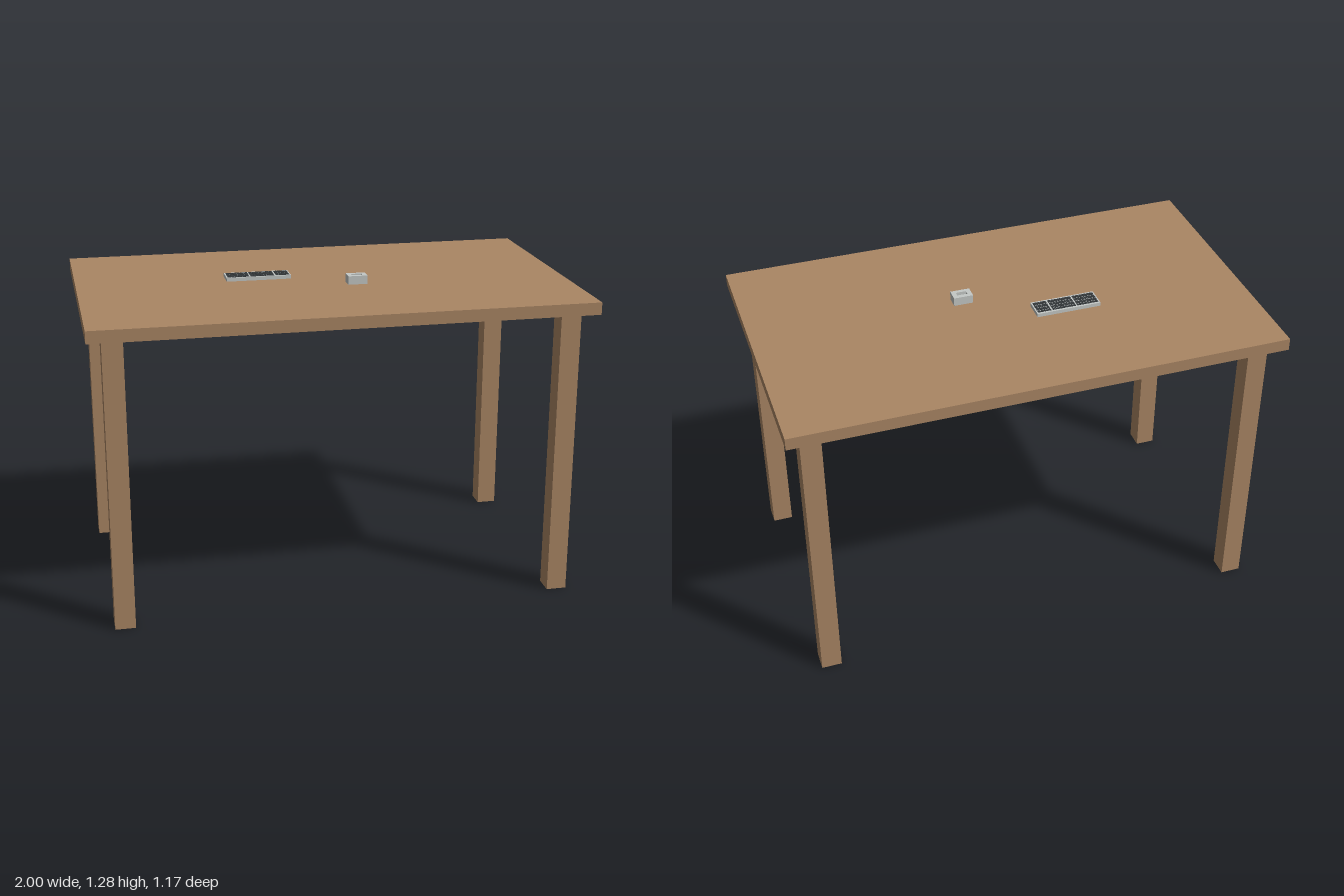
import * as THREE from 'three';

export function createModel() {
  const model = new THREE.Group();
  const mat = (name, color) => {
    const m = new THREE.MeshStandardMaterial({ color });
    m.name = name;
    return m;
  };
  const wood = mat('wood', 0xaa8664);
  const grey = mat('light grey', 0xc4c8c6);
  const dark = mat('dark keys', 0x34383b);

  // Box given by its lower and upper limits on each axis
  const box = (parent, name, material, [x0, x1], [y0, y1], [z0, z1]) => {
    const mesh = new THREE.Mesh(new THREE.BoxGeometry(x1 - x0, y1 - y0, z1 - z0), material);
    mesh.position.set((x0 + x1) / 2, (y0 + y1) / 2, (z0 + z1) / 2);
    mesh.name = name;
    parent.add(mesh);
  };

  // Table
  box(model, 'tableTop', wood, [-1, 1], [1.2, 1.25], [-0.583, 0.583]);
  for (const sx of [-1, 1]) for (const sz of [-1, 1]) {
    const x = sx * 0.9, z = sz * 0.483;
    box(model, 'leg', wood, [x - 0.041, x + 0.041], [0, 1.2], [z - 0.041, z + 0.041]);
  }

  // Keyboard: flat body with three blocks of keys
  const keyboard = new THREE.Group();
  keyboard.name = 'keyboard';
  model.add(keyboard);
  box(keyboard, 'keyboardBody', grey, [-0.387, -0.119], [1.25, 1.265], [-0.126, -0.038]);
  const blocks = [[-0.382, -0.291, 6], [-0.286, -0.187, 7], [-0.181, -0.124, 4]];
  const rows = [[-0.117, -0.106], [-0.102, -0.086], [-0.082, -0.066], [-0.062, -0.046]];
  for (const [x0, x1, count] of blocks) {
    const pitch = (x1 - x0) / count;
    for (const row of rows) for (let i = 0; i < count; i++) {
      const x = x0 + i * pitch;
      box(keyboard, 'key', dark, [x + 0.0006, x + pitch - 0.0006], [1.265, 1.2665], row);
    }
  }

  // Mouse: block with a rectangular recess in its top
  const mouse = new THREE.Group();
  mouse.name = 'mouse';
  model.add(mouse);
  box(mouse, 'mouseBase', grey, [0.091, 0.171], [1.25, 1.272], [0.058, 0.112]);
  const rim = new THREE.Shape([[-0.04, -0.027], [0.04, -0.027], [0.04, 0.027], [-0.04, 0.027]]
    .map(([x, y]) => new THREE.Vector2(x, y)));
  rim.holes.push(new THREE.Path([[-0.021, -0.011], [-0.021, 0.011], [0.021, 0.011], [0.021, -0.011]]
    .map(([x, y]) => new THREE.Vector2(x, y))));
  const rimMesh = new THREE.Mesh(
    new THREE.ExtrudeGeometry(rim, { depth: 0.013, bevelEnabled: false }).rotateX(-Math.PI / 2), grey);
  rimMesh.position.set(0.131, 1.272, 0.085);
  rimMesh.name = 'mouseRim';
  mouse.add(rimMesh);

  return model;
}
